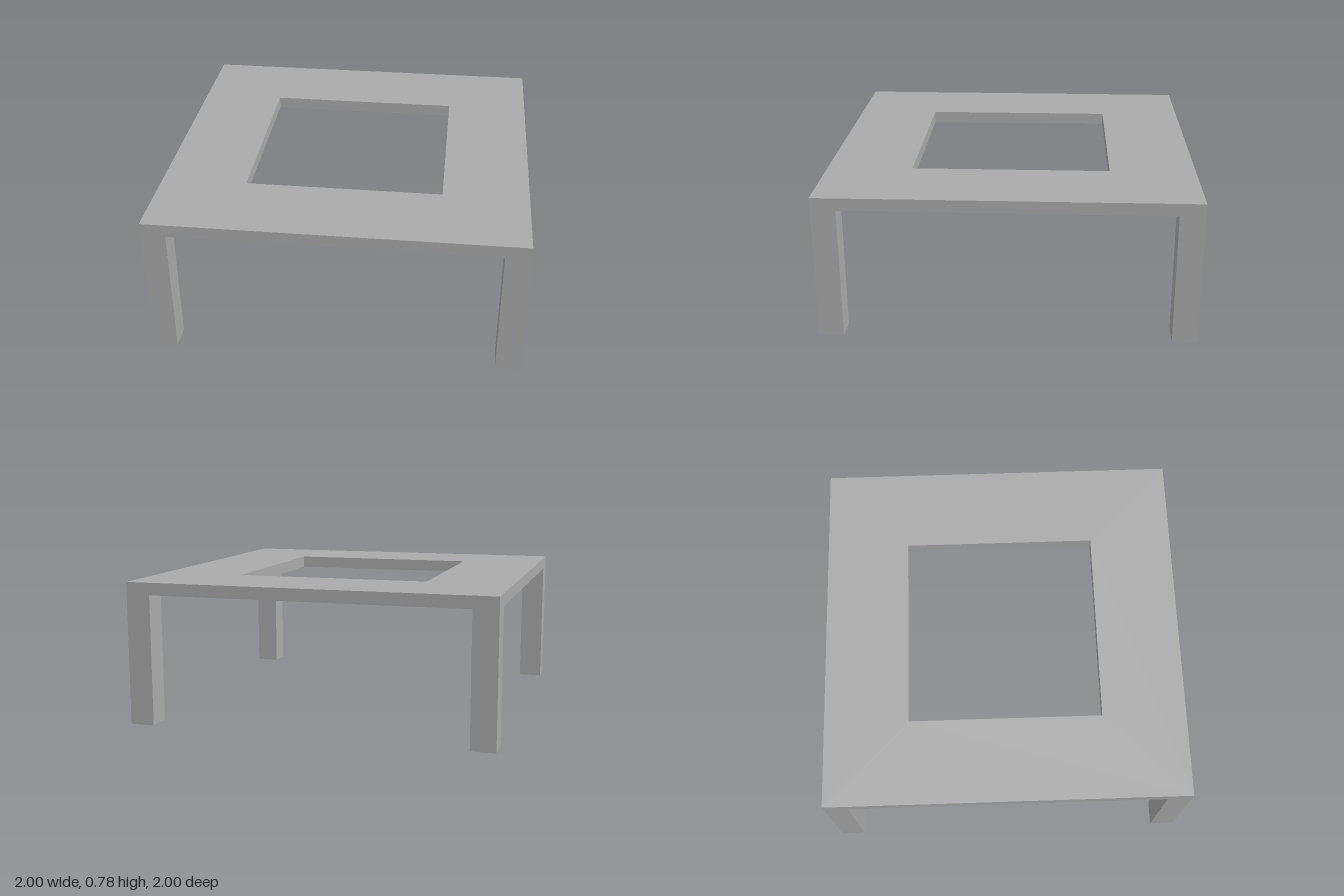
import * as THREE from 'three';

const HALF = 1, HOLE = 0.535, HEIGHT = 0.78, THICK = 0.067, LEG = 0.133;

// Square outline centred on the origin
function square(Type, h) {
  return new Type([[-h, -h], [h, -h], [h, h], [-h, h]].map(([x, y]) => new THREE.Vector2(x, y)));
}

export function createModel() {
  const model = new THREE.Group();
  model.name = 'openTable';
  const grey = new THREE.MeshStandardMaterial({ color: 0xaaaaaa });
  grey.name = 'grey';

  // Table top with a square opening
  const outline = square(THREE.Shape, HALF);
  outline.holes.push(square(THREE.Path, HOLE));
  const topGeometry = new THREE.ExtrudeGeometry(outline, { depth: THICK, bevelEnabled: false });
  topGeometry.rotateX(-Math.PI / 2);
  const top = new THREE.Mesh(topGeometry, grey);
  top.name = 'tableTop';
  top.position.y = HEIGHT - THICK;
  model.add(top);

  // Square legs, flush with the corners
  const legHeight = HEIGHT - THICK;
  const legGeometry = new THREE.BoxGeometry(LEG, legHeight, LEG);
  const offset = HALF - LEG / 2;
  for (const [x, side] of [[1, 'Left'], [-1, 'Right']]) {
    for (const [z, end] of [[1, 'front'], [-1, 'back']]) {
      const leg = new THREE.Mesh(legGeometry, grey);
      leg.name = `${end}${side}Leg`;
      leg.position.set(x * offset, legHeight / 2, z * offset);
      model.add(leg);
    }
  }
  return model;
}
